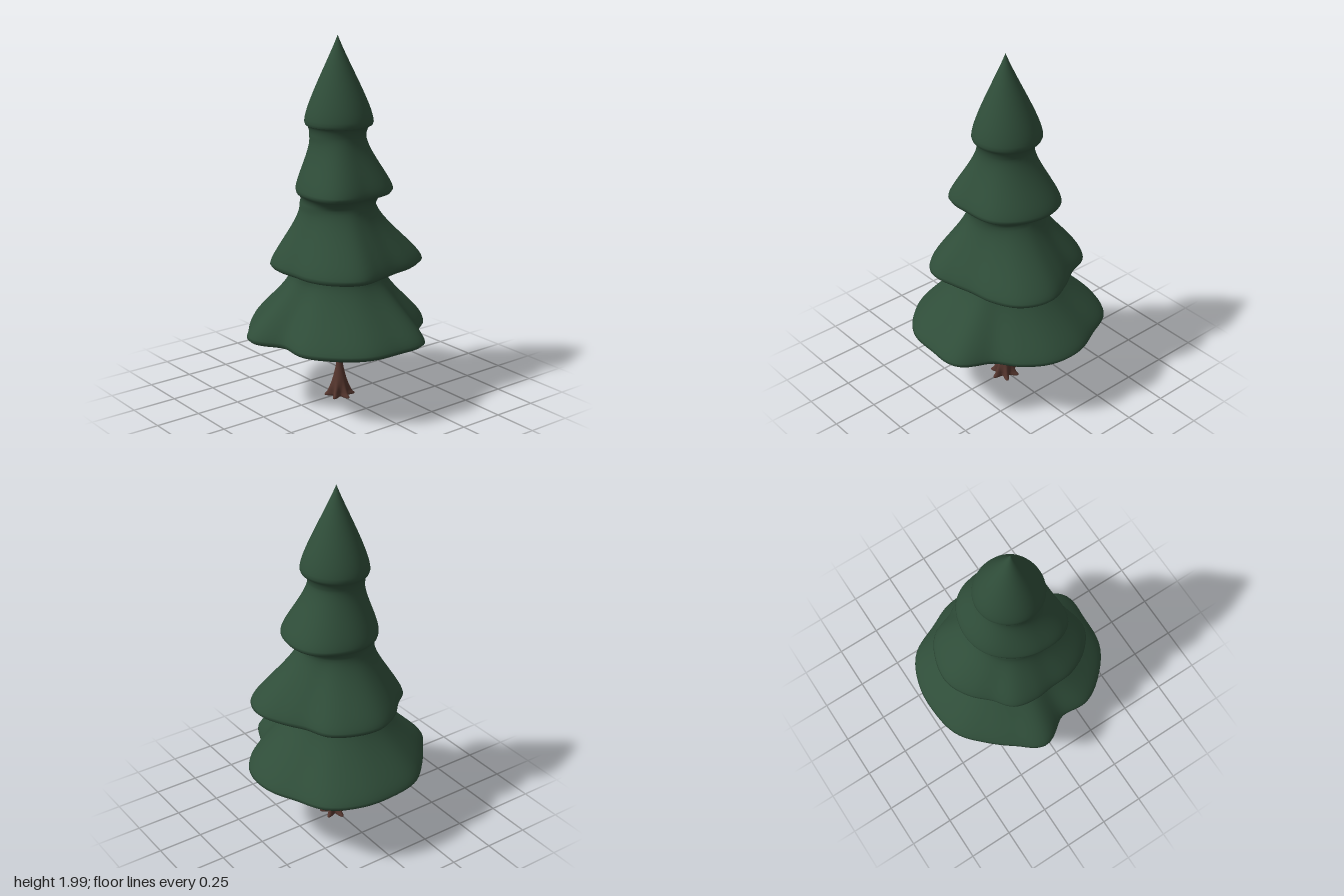
import * as THREE from 'three';

const SIDES = 96;

// Foliage tiers from the bottom up: lip and neck as height and radius,
// and the lip's relative outline, evenly spaced from +x towards +z
const TIERS = [
  { lipY: .405, lipR: .505, neckY: .73, neckR: .258,
    outline: [.52, .532, .513, .492, .43, .522, .487, .487, .517,
      .522, .54, .55, .51, .52, .513, .476, .444, .537] },
  { lipY: .775, lipR: .395, neckY: 1.1, neckR: .203,
    outline: [.372, .418, .406, .375, .34, .35, .365, .345, .378,
      .415, .422, .42, .379, .408, .462, .463, .41, .362] },
  { lipY: 1.18, lipR: .27, neckY: 1.465, neckR: .15,
    outline: [.26, .302, .25, .224, .238, .266, .304, .298, .29] },
  { lipY: 1.54, lipR: .184, neckY: 1.99, neckR: .0005,
    outline: [.182, .174, .174, .19, .193, .19] },
];

// Periodic smooth interpolation of evenly spaced values
function sampleLoop(list, angle) {
  const n = list.length, f = angle / (2 * Math.PI) * n, i = Math.floor(f), t = f - i;
  const [a, b, c, d] = [-1, 0, 1, 2].map(k => list[(i + k + n) % n]);
  return b + 0.5 * t * (c - a + t * (2 * a - 5 * b + 4 * c - d + t * (3 * (b - c) + d - a)));
}

// Smooth skin over stacked rings, each with a height y and a radius by angle
function loft(rings) {
  const positions = [], index = [];
  rings.forEach(({ y, radius }) => {
    for (let j = 0; j < SIDES; j++) {
      const a = j / SIDES * 2 * Math.PI, r = radius(a);
      positions.push(r * Math.cos(a), y, r * Math.sin(a));
    }
  });
  for (let i = 0; i < rings.length - 1; i++) {
    for (let j = 0; j < SIDES; j++) {
      const a = i * SIDES + j, b = i * SIDES + (j + 1) % SIDES;
      index.push(a, a + SIDES, b, b, a + SIDES, b + SIDES);
    }
  }
  const geometry = new THREE.BufferGeometry();
  geometry.setAttribute('position', new THREE.Float32BufferAttribute(positions, 3));
  geometry.setIndex(index);
  geometry.computeVertexNormals();
  return geometry;
}

// Each tier flares out below its lip, then sweeps up and in to its neck
function foliageRings() {
  const rings = [];
  let start = new THREE.Vector2(.001, .386);
  TIERS.forEach(({ lipY, lipR, neckY, neckR, outline }) => {
    const addRing = (r, y, inner) => {
      // The wavy outline fades to a circle at the necks
      const wave = Math.sqrt(THREE.MathUtils.clamp((r - inner) / (lipR - inner), 0, 1));
      rings.push({ y, radius: a => r * (1 + wave * (sampleLoop(outline, a) / lipR - 1)) });
    };
    for (let i = 0; i < 10; i++) {
      const t = i / 9 * Math.PI / 2;
      addRing(THREE.MathUtils.lerp(lipR * .97, start.x, Math.cos(t)),
        THREE.MathUtils.lerp(start.y, lipY - .015, Math.sin(t)), start.x);
    }
    const rise = neckY - lipY, end = new THREE.Vector2(neckR, neckY);
    const sweep = new THREE.CubicBezierCurve(
      new THREE.Vector2(lipR, lipY),
      new THREE.Vector2(lipR * .98, lipY + rise * .19),
      new THREE.Vector2(Math.max(neckR, .045), lipY + rise * .73),
      end);
    // The next tier's first ring closes the neck
    const points = sweep.getPoints(16);
    if (neckR > .01) points.pop();
    points.forEach(p => addRing(p.x, p.y, neckR));
    start = end;
  });
  return rings;
}

// Slim trunk, flared at the top, with six pointed roots
function trunkRings() {
  const profile = new THREE.SplineCurve([
    [.001, .003], [.06, .005], [.055, .03], [.046, .07],
    [.02, .18], [.019, .26], [.034, .34], [.1, .389],
  ].map(([r, y]) => new THREE.Vector2(r, y)));
  return profile.getPoints(42).map(({ x: r, y }) => {
    const root = r * .4 * Math.max(0, 1 - y / .12) ** 2;
    return { y, radius: a => r + root * (2 * Math.abs(Math.cos(3 * a)) ** 3 - 1) };
  });
}

export function createModel() {
  const group = new THREE.Group();
  const addPart = (name, rings, material) => {
    const mesh = new THREE.Mesh(loft(rings), material);
    mesh.name = name;
    group.add(mesh);
    return mesh;
  };
  const green = new THREE.MeshStandardMaterial({ color: 0x2f4d39 });
  green.name = 'needle green';
  const brown = new THREE.MeshStandardMaterial({ color: 0x54352d });
  brown.name = 'bark brown';

  addPart('foliage', foliageRings(), green);
  addPart('trunk', trunkRings(), brown).position.set(.01, 0, -.005);
  return group;
}
